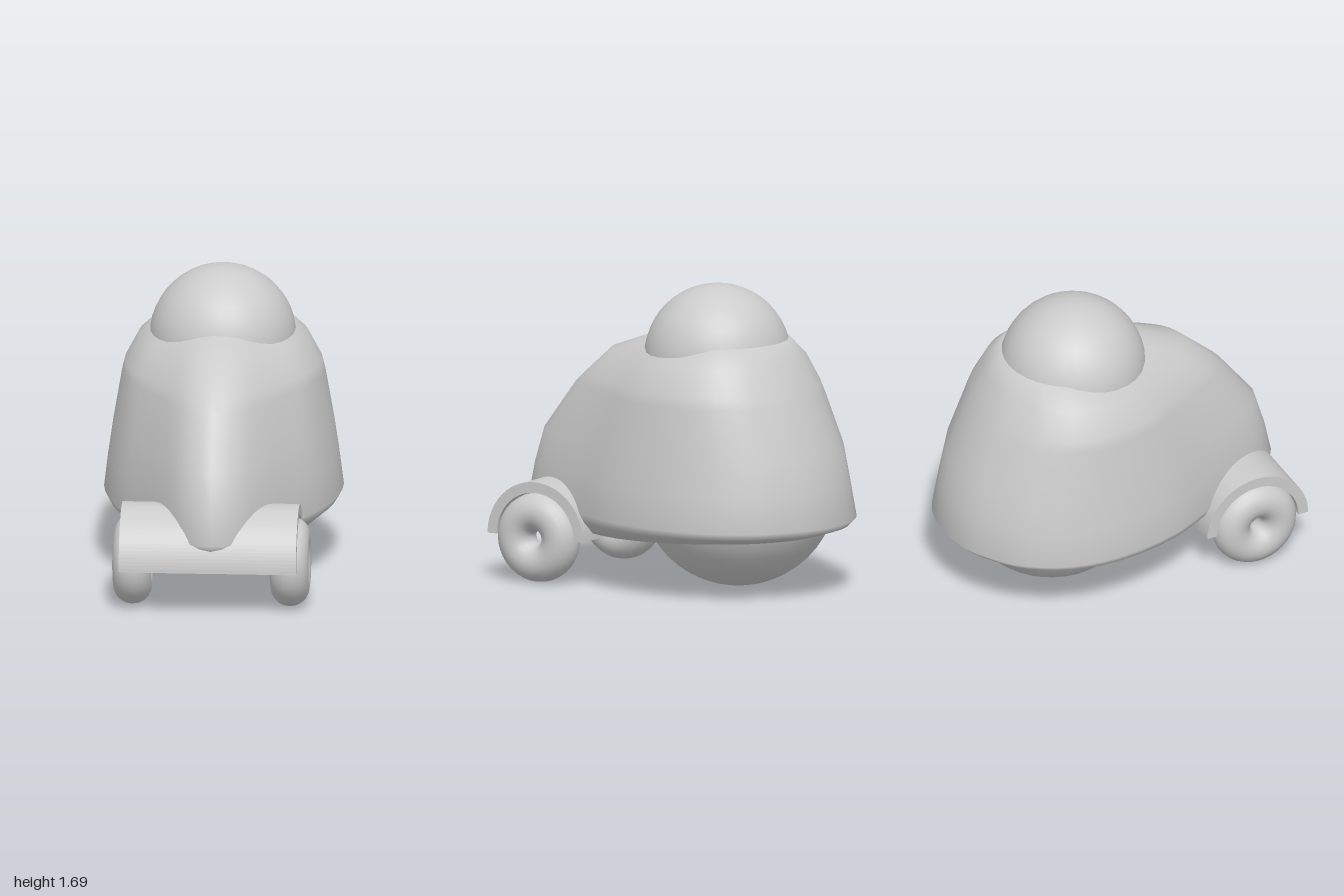
import * as THREE from 'three';

const material = new THREE.MeshStandardMaterial({ color: 0xcccccc });

function addPart(group, name, geometry, x = 0, y = 0, z = 0) {
  const mesh = new THREE.Mesh(geometry, material);
  mesh.name = name;
  mesh.position.set(x, y, z);
  group.add(mesh);
  return mesh;
}

// Teardrop outline, half-width and z, from the back round to the nose
const HALF_PLAN = [
  [0, -1], [0.2, -0.97], [0.35, -0.89], [0.47, -0.8], [0.56, -0.68], [0.625, -0.54],
  [0.66, -0.34], [0.645, -0.1], [0.57, 0.18], [0.455, 0.4], [0.34, 0.62], [0.22, 0.84],
  [0.12, 0.95], [0, 1],
];

// Body levels: height, half-width, back z, front z, forward droop of the underside
const LEVELS = [
  [0.3, 0, -0.1, -0.1, 0.03],
  [0.31, 0.4, -0.6, 0.6, 0.05],
  [0.335, 0.56, -0.85, 0.86, 0.05],
  [0.37, 0.635, -0.96, 0.96, 0.01],
  [0.41, 0.66, -1, 1, 0],
  [0.6, 0.637, -0.965, 0.96, 0],
  [0.8, 0.608, -0.925, 0.9, 0],
  [1.08, 0.56, -0.8, 0.69, 0],
  [1.14, 0.545, -0.77, 0.625, 0],
  [1.29, 0.465, -0.69, 0.46, 0],
  [1.39, 0.35, -0.6, 0.19, 0],
  [1.43, 0, -0.2, -0.2, 0],
];

// Lofts the teardrop outline through the levels
function bodyGeometry() {
  const outline = [
    ...HALF_PLAN,
    ...HALF_PLAN.slice(1, -1).reverse().map(([x, z]) => [-x, z]),
  ].map(([x, z]) => new THREE.Vector3(x, 0, z));
  const plan = new THREE.CatmullRomCurve3(outline, true).getPoints(52).slice(0, -1);
  const n = plan.length;
  const positions = [];
  const index = [];
  for (const [y, width, back, front, droop] of LEVELS) {
    for (const p of plan) {
      const z = back + ((p.z + 1) / 2) * (front - back);
      const drop = droop * THREE.MathUtils.clamp(z + 0.5, 0, 1);
      positions.push((p.x / 0.66) * width, y - drop, z);
    }
  }
  for (let r = 0; r < LEVELS.length - 1; r++) {
    for (let i = 0; i < n; i++) {
      const a = r * n + i;
      const b = r * n + ((i + 1) % n);
      if (r < LEVELS.length - 2) index.push(a, a + n, b + n);
      else index.push(a, a + n, b);
      if (r > 0 && r < LEVELS.length - 2) index.push(a, b + n, b);
    }
  }
  const geometry = new THREE.BufferGeometry();
  geometry.setAttribute('position', new THREE.Float32BufferAttribute(positions, 3));
  geometry.setIndex(index);
  geometry.computeVertexNormals();
  return geometry;
}

// Half-round shell running across the model
function fenderGeometry(outer, inner, width) {
  const shape = new THREE.Shape();
  shape.absarc(0, 0, outer, 0, Math.PI, false);
  shape.absarc(0, 0, inner, Math.PI, 0, true);
  shape.closePath();
  const geometry = new THREE.ExtrudeGeometry(shape, {
    depth: width, bevelEnabled: false, curveSegments: 24,
  });
  return geometry.rotateY(-Math.PI / 2);
}

export function createModel() {
  const model = new THREE.Group();
  model.name = 'roundedRover';

  addPart(model, 'body', bodyGeometry());
  addPart(model, 'headDome', new THREE.SphereGeometry(0.406, 32, 24), 0, 1.285, -0.205);
  addPart(model, 'rearBallWheel', new THREE.SphereGeometry(0.55, 32, 24), 0, 0.57, -0.34);
  addPart(model, 'frontFender', fenderGeometry(0.31, 0.25, 0.98), 0.475, 0.255, 0.685);

  // Ring-shaped front wheels, slightly offset together with the fender
  for (const [name, x] of [['leftWheel', 0.427], ['rightWheel', -0.443]]) {
    const tyre = new THREE.TorusGeometry(0.142, 0.107, 20, 36).rotateY(Math.PI / 2);
    addPart(model, name, tyre, x, 0.25, 0.69);
  }
  return model;
}
